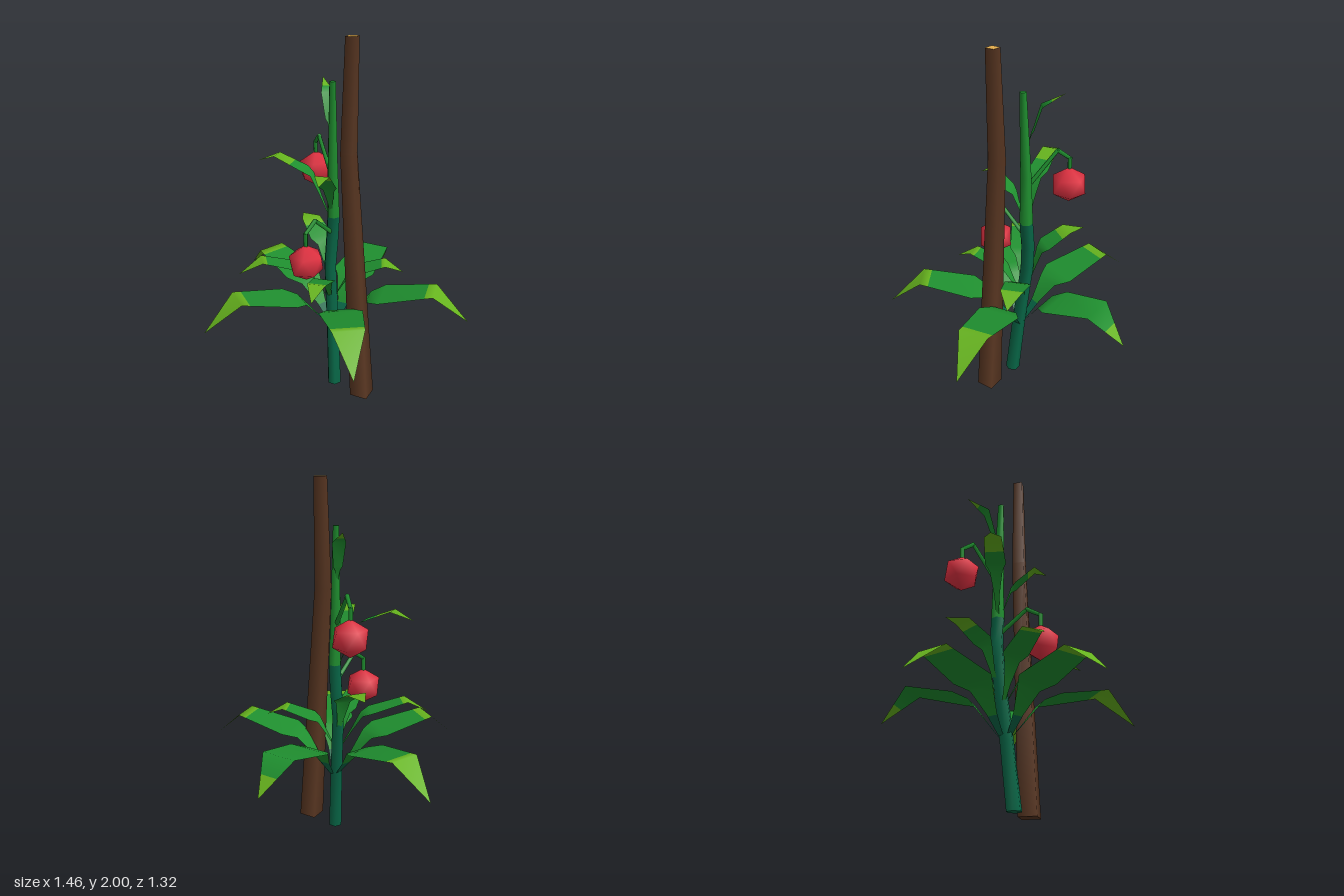
import * as THREE from 'three';
import { mergeVertices } from 'three/addons/utils/BufferGeometryUtils.js';

const mat = (name, color, side = THREE.FrontSide) =>
  Object.assign(new THREE.MeshStandardMaterial({ color, side }), { name });

// Smooth-shaded geometry from loose triangles
function smooth(positions) {
  const g = new THREE.BufferGeometry();
  g.setAttribute('position', new THREE.Float32BufferAttribute(positions, 3));
  const merged = mergeVertices(g, 1e-4);
  merged.computeVertexNormals();
  return merged;
}

function add(parent, name, geometry, material) {
  const m = new THREE.Mesh(geometry, material);
  m.name = name;
  parent.add(m);
  return m;
}

export function createModel() {
  const model = new THREE.Group();
  model.name = 'stakedPlant';
  const brown = mat('stakeBrown', 0x5a3722);
  const cutWood = mat('cutWood', 0xe4ae4e);
  const teal = mat('stemTeal', 0x076747, THREE.DoubleSide);
  const green = mat('leafGreen', 0x1f8f2f, THREE.DoubleSide);
  const lime = mat('leafTipLime', 0x66b31e, THREE.DoubleSide);
  const red = mat('berryRed', 0xe33242);

  // Open upright loft: each ring is [x, y, z, radius]
  function loft(name, rings, sides, turn, material) {
    const out = [];
    const pt = ([x, y, z, r], i) => {
      const a = turn + ((i % sides) / sides) * Math.PI * 2;
      return [x + Math.sin(a) * r, y, z + Math.cos(a) * r];
    };
    for (let i = 0; i < sides; i++) {
      for (let k = 0; k + 1 < rings.length; k++) {
        const a = pt(rings[k], i), b = pt(rings[k], i + 1);
        const c = pt(rings[k + 1], i + 1), d = pt(rings[k + 1], i);
        out.push(...a, ...b, ...c, ...a, ...c, ...d);
      }
    }
    add(model, name, smooth(out), material);
  }

  // Flat end of a loft
  function cap(name, [x, y, z, r], sides, turn, material, up) {
    const g = new THREE.CircleGeometry(r, sides, turn - Math.PI / 2);
    g.rotateX(up ? -Math.PI / 2 : Math.PI / 2);
    add(model, name, g, material).position.set(x, y, z);
  }

  // Square wooden stake with a pale cut top
  const stake = [[0.195, 0, 0.106, 0.071], [0.099, 1.42, 0.091, 0.047], [0.114, 2, 0.091, 0.037]];
  loft('stake', stake, 4, Math.PI / 4, brown);
  cap('stakeFoot', stake[0], 4, Math.PI / 4, brown, false);
  cap('stakeCutTop', stake[2], 4, Math.PI / 4, cutWood, true);

  // Main stem: teal below, green above
  const foot = [0.004, 0, 0.07, 0.041], joint = [-0.034, 1.02, -0.003, 0.037], tip = [-0.028, 1.76, 0.015, 0.018];
  loft('lowerStem', [foot, [-0.02, 0.35, 0.04, 0.038], [-0.052, 0.72, 0.004, 0.036],
    [-0.045, 0.87, -0.007, 0.037], joint], 6, Math.PI / 6, teal);
  loft('upperStem', [joint, [-0.035, 1.3, 0.002, 0.03], tip], 6, Math.PI / 6, green);
  cap('stemFoot', foot, 6, Math.PI / 6, teal, false);
  cap('stemTip', tip, 6, Math.PI / 6, green, true);

  // Leaf: rows of [distance 0..1, height, half width], coloured in zones along its length
  function leaf(name, base, end, peakY, half,
    { shoulder = 0.75, neck = 0.8, belly = 1, arch = 0.73, limeAt = 0.7, rootAt = 0 } = {}) {
    const [bx, by, bz] = base, [tx, ty, tz] = end;
    const rise = peakY - by, len = Math.hypot(tx - bx, tz - bz);
    const sx = -(tz - bz) / len, sz = (tx - bx) / len;
    const rows = [
      [0, by, half * 0.06],
      [shoulder * 0.2, by + rise * arch * 0.57, half * belly * 0.27],
      [shoulder * 0.35, by + rise * arch, half * belly * 0.6],
      [shoulder * 0.48, by + rise * (arch + 0.08), half * belly],
      [shoulder, peakY, half * neck],
      [1, ty, 0.0005],
    ];
    const cut = t => {
      const k = rows.findIndex(r => r[0] >= t);
      if (k < 1) return;
      const a = rows[k - 1], b = rows[k], f = (t - a[0]) / (b[0] - a[0]);
      rows.splice(k, 0, a.map((v, i) => v + (b[i] - v) * f));
    };
    cut(limeAt);
    cut(rootAt);
    const pt = ([t, y, w], s) => [bx + (tx - bx) * t + sx * w * s, y, bz + (tz - bz) * t + sz * w * s];
    const out = [], zones = [];
    for (let k = 0; k + 1 < rows.length; k++) {
      const a = pt(rows[k], -1), b = pt(rows[k + 1], -1), c = pt(rows[k + 1], 1), d = pt(rows[k], 1);
      out.push(...a, ...d, ...c, ...a, ...c, ...b);
      const middle = (rows[k][0] + rows[k + 1][0]) / 2;
      zones.push(middle < rootAt ? 0 : middle < limeAt ? 1 : 2);
    }
    const g = smooth(out);
    zones.forEach((zone, k) => g.addGroup(k * 6, 6, zone));
    add(model, name, g, [teal, green, lime]);
  }

  // Five large drooping leaves: the back one is broader with a smaller bright tip
  const root = [-0.012, 0.325, 0.03];
  leaf('largeLeaf', root, [0.01, 0.493, -0.66], 0.658, 0.125, { limeAt: 0.87, rootAt: 0.14 });
  for (const [x, z] of [[0.73, -0.1], [0.39, 0.66], [-0.5, 0.61], [-0.73, -0.255]]) {
    leaf('largeLeaf', root, [x, 0.493, z], 0.658, 0.118, { neck: 0.71, limeAt: 0.69, rootAt: 0.14 });
  }

  // Middle leaves
  leaf('middleLeaf', [-0.04, 0.5, 0.02], [-0.45, 0.725, 0.325], 0.8, 0.07);
  leaf('middleLeaf', [-0.04, 0.5, 0.02], [0.045, 0.71, 0.425], 0.765, 0.062);
  leaf('middleLeaf', [-0.04, 0.5, 0.02], [0.335, 0.7, -0.13], 0.755, 0.075);
  leaf('middleLeaf', [-0.04, 0.55, 0.01], [-0.33, 0.918, -0.2], 0.928, 0.07, { shoulder: 0.7, limeAt: 0.57 });

  // Upper leaves
  leaf('upperLeaf', [-0.045, 0.99, 0], [-0.46, 1.3, 0.065], 1.345, 0.057, { limeAt: 0.52, shoulder: 0.73 });
  leaf('upperLeaf', [-0.04, 0.99, 0], [0.012, 1.28, 0.265], 1.315, 0.05, { limeAt: 0.62, arch: 0.62 });
  leaf('topLeaf', [-0.04, 1.44, 0.005], [-0.165, 1.745, -0.15], 1.685, 0.045,
    { shoulder: 0.4, limeAt: 0.65, arch: 0.4, belly: 0.55 });

  // Berries hanging from bent stalks
  const fruit = new THREE.IcosahedronGeometry(0.102, 0);
  fruit.rotateZ(-Math.atan(2 / (1 + Math.sqrt(5)))); // one corner points straight up
  const berryShape = smooth(Array.from(fruit.attributes.position.array));

  function berry(path, x, y, z) {
    const group = new THREE.Group();
    group.name = 'hangingBerry';
    const pts = path.map(p => new THREE.Vector3(...p));
    for (let i = 0; i + 1 < pts.length; i++) {
      const dir = pts[i + 1].clone().sub(pts[i]), len = dir.length();
      const stalk = add(group, 'berryStalk', new THREE.CylinderGeometry(0.011, 0.013, len + 0.008, 5), green);
      stalk.position.copy(pts[i]).addScaledVector(dir, 0.5);
      stalk.quaternion.setFromUnitVectors(new THREE.Vector3(0, 1, 0), dir.normalize());
    }
    add(group, 'berry', berryShape, red).position.set(x, y, z);
    model.add(group);
  }
  berry([[-0.035, 1.23, 0], [-0.17, 1.43, -0.11], [-0.217, 1.38, -0.157], [-0.217, 1.3, -0.157]], -0.217, 1.225, -0.158);
  berry([[-0.04, 0.92, 0], [-0.06, 1.05, 0.165], [-0.078, 1, 0.24], [-0.078, 0.91, 0.24]], -0.078, 0.836, 0.241);

  return model;
}
